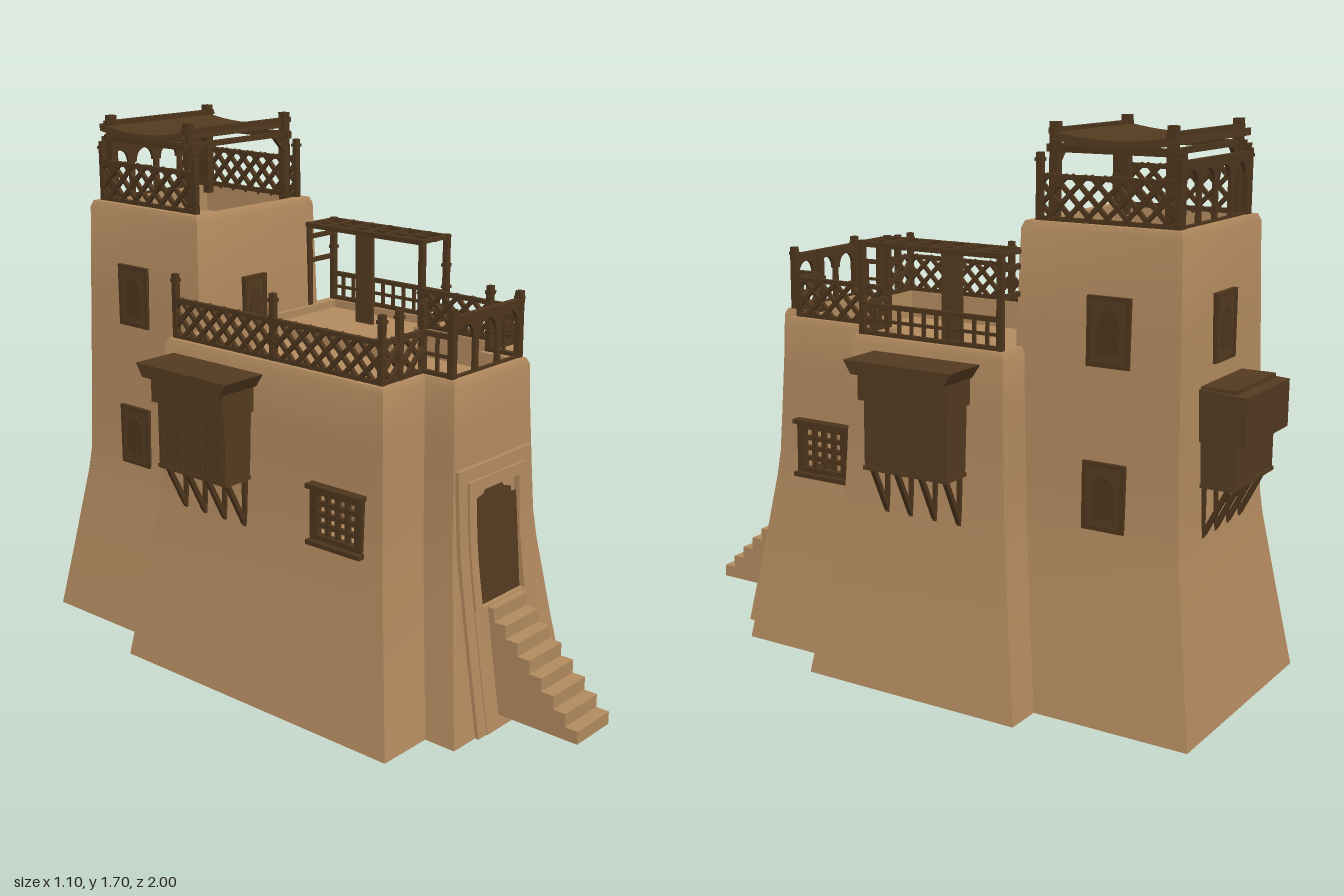
import * as THREE from 'three';
import { mergeGeometries, toCreasedNormals } from 'three/addons/utils/BufferGeometryUtils.js';

const mat = (name, color, side = THREE.FrontSide) => {
  const m = new THREE.MeshStandardMaterial({ color, side });
  m.name = name;
  return m;
};

export function createModel() {
  const clay = mat('clay', 0xb28a5f, THREE.DoubleSide);
  const wood = mat('wood', 0x533a20);
  const darkWood = mat('dark wood', 0x4d351d);
  const root = new THREE.Group();

  const add = (name, geo, m, parent = root) => {
    const mesh = new THREE.Mesh(geo, m);
    mesh.name = name;
    parent.add(mesh);
    return mesh;
  };
  const group = (name, x = 0, y = 0, z = 0, turn = 0) => {
    const g = new THREE.Group();
    g.name = name;
    g.position.set(x, y, z);
    g.rotation.y = turn;
    root.add(g);
    return g;
  };
  const boxGeo = (w, h, d, x, y, z) => new THREE.BoxGeometry(w, h, d).translate(x, y, z);
  // Square bar between two points of an upright plane
  const barGeo = (x0, y0, x1, y1, t, z = 0) => new THREE.BoxGeometry(Math.hypot(x1 - x0, y1 - y0), t, t)
    .rotateZ(Math.atan2(y1 - y0, x1 - x0)).translate((x0 + x1) / 2, (y0 + y1) / 2, z);

  // Outline of [x, z] corners pushed outwards by o
  const offset = (pts, o) => pts.map((p, i) => {
    const n = pts.length, a = pts[(i + n - 1) % n], b = pts[(i + 1) % n];
    const n1 = [-Math.sign(p[1] - a[1]), Math.sign(p[0] - a[0])];
    const n2 = [-Math.sign(b[1] - p[1]), Math.sign(b[0] - p[0])];
    const same = n1[0] === n2[0] && n1[1] === n2[1];
    return [p[0] + o * (n1[0] + (same ? 0 : n2[0])), p[1] + o * (n1[1] + (same ? 0 : n2[1]))];
  });

  // Flared walls with a parapet and a sunken roof floor; open underneath
  function building(name, pts, rows, thick, floorY, isHole = () => false) {
    const top = rows[rows.length - 1][0];
    const rings = [...rows, [top, -thick], [floorY, -thick]]
      .map(([y, o]) => offset(pts, o).map(([x, z]) => [x, y, z]));
    const pos = [];
    for (let j = 0; j + 1 < rings.length; j++) for (let i = 0; i < pts.length; i++) {
      if (isHole(i, rings[j][0][1])) continue;
      const k = (i + 1) % pts.length;
      const [a, b, c, d] = [rings[j][i], rings[j][k], rings[j + 1][k], rings[j + 1][i]];
      pos.push(...a, ...b, ...c, ...a, ...c, ...d);
    }
    const geo = new THREE.BufferGeometry();
    geo.setAttribute('position', new THREE.Float32BufferAttribute(pos, 3));
    add(name + 'Walls', toCreasedNormals(geo, 0.4), clay);
    const outline = new THREE.Shape(offset(pts, -thick).map(([x, z]) => new THREE.Vector2(x, -z)));
    add(name + 'RoofFloor', new THREE.ShapeGeometry(outline).rotateX(-Math.PI / 2).translate(0, floorY, 0), clay);
  }

  const mainRows = [[0, 0.102], [0.25, 0.063], [0.5, 0.027], [0.585, 0.018], [0.715, 0.012], [0.9, 0.004], [1.04, 0], [1.06, -0.008]];
  building('mainHouse', [[-0.395, -0.365], [-0.395, 0.285], [-0.395, 0.435], [-0.395, 0.51], [-0.21, 0.51],
    [-0.21, 0.615], [0.155, 0.615], [0.155, 0.51], [0.27, 0.51], [0.27, 0.435], [0.27, 0.285], [0.27, 0.165],
    [0.393, 0.165], [0.393, -0.365]], mainRows, 0.045, 0.97, (i, y) => (i === 1 || i === 9) && y === 0.585);
  building('tower', [[-0.265, -0.845], [-0.265, -0.345], [0.265, -0.345], [0.265, -0.845]],
    [[0, 0.112], [0.25, 0.071], [0.5, 0.031], [0.58, 0.022], [0.75, 0.017], [1.1, 0.008], [1.4, 0], [1.42, -0.008]], 0.04, 1.33);
  add('innerFloor', boxGeo(0.66, 0.01, 0.84, -0.06, 0.3, 0.08), clay);
  add('roofBench', boxGeo(0.25, 0.07, 0.48, 0.225, 1.0, -0.105), clay);

  // Portal mouldings follow the flare of the front wall
  const flare = (y) => {
    const j = Math.max(1, mainRows.findIndex((r) => r[0] >= y));
    const [y0, a] = mainRows[j - 1], [y1, b] = mainRows[j];
    return a + (b - a) * (y - y0) / (y1 - y0);
  };
  const moulding = (name, x0, x1, y0, y1, out) => {
    const geo = new THREE.BoxGeometry(x1 - x0, y1 - y0, out + 0.02, 1, 10, 1)
      .translate((x0 + x1) / 2, (y0 + y1) / 2, 0.595 + (out + 0.02) / 2);
    const p = geo.attributes.position;
    for (let i = 0; i < p.count; i++) p.setZ(i, p.getZ(i) + flare(Math.max(0, p.getY(i))));
    geo.computeVertexNormals();
    add(name, geo, clay);
  };
  for (const [x0, x1] of [[-0.21, -0.17], [0.105, 0.145]]) moulding('portalOuterJamb', x0, x1, 0, 0.8, 0.012);
  for (const [x0, x1] of [[-0.17, -0.137], [0.073, 0.105]]) moulding('portalInnerJamb', x0, x1, 0.375, 0.76, 0.02);
  moulding('portalOuterLintel', -0.17, 0.105, 0.76, 0.8, 0.012);
  moulding('portalInnerLintel', -0.137, 0.073, 0.725, 0.76, 0.02);
  moulding('portalSill', -0.17, 0.105, 0.0, 0.375, 0.015);

  // Door with a stepped arch
  const half = [[0.105, 0], [0.105, 0.3], [0.08, 0.3], [0.08, 0.32], [0.045, 0.33], [0.035, 0.345], [0, 0.355]];
  const doorShape = new THREE.Shape([...half, ...half.slice(0, -1).reverse().map(([x, y]) => [-x, y])]
    .map(([x, y]) => new THREE.Vector2(x, y)));
  const door = add('frontDoor', new THREE.ExtrudeGeometry(doorShape, { depth: 0.008, bevelEnabled: false }), wood);
  door.position.set(-0.032, 0.375, 0.653);
  door.rotation.x = -0.08;

  // Stairs
  const stairs = new THREE.Shape();
  stairs.moveTo(-0.6, 0.04).lineTo(-1, 0.04);
  for (let i = 0; i < 8; i++) stairs.lineTo(-1 + i * 0.043, 0.08 + i * 0.0415).lineTo(-1 + (i + 1) * 0.043, 0.08 + i * 0.0415);
  stairs.lineTo(-0.6, 0.37);
  add('frontStairs', new THREE.ExtrudeGeometry(stairs, { depth: 0.165, bevelEnabled: false })
    .rotateY(Math.PI / 2).translate(-0.108, 0, 0), clay);

  // Fence run between two [x, z] points: diagonal lattice or plain bars
  function fence(name, a, b, y, h, plain, postH = 0.15) {
    const len = Math.hypot(b[0] - a[0], b[1] - a[1]);
    const g = group(name, a[0], y, a[1], Math.atan2(a[1] - b[1], b[0] - a[0]));
    const parts = [0.01, h - 0.006].map((v) => barGeo(0, v, len, v, 0.014));
    if (plain) {
      parts.push(barGeo(0, h / 2, len, h / 2, 0.009));
      const n = Math.max(2, Math.round(len / 0.045));
      for (let i = 1; i < n; i++) parts.push(barGeo(len * i / n, 0, len * i / n, h, 0.009));
    } else {
      for (let c = -h + 0.03; c < len; c += 0.06) {
        const s0 = Math.max(0, -c), s1 = Math.min(h, len - c);
        if (s1 - s0 < 0.01) continue;
        parts.push(barGeo(c + s0, s0, c + s1, s1, 0.012, 0.002), barGeo(len - c - s0, s0, len - c - s1, s1, 0.012, -0.002));
      }
    }
    for (const x of [0, len]) {
      parts.push(boxGeo(0.018, postH + 0.01, 0.018, x, postH / 2, 0));
      parts.push(boxGeo(0.024, 0.01, 0.024, x, postH - 0.015, 0));
    }
    add(name + 'Bars', mergeGeometries(parts), darkWood, g);
  }
  const rail = [[-0.365, -0.34], [-0.365, 0.07], [-0.365, 0.48], [-0.29, 0.48], [-0.185, 0.48], [-0.185, 0.585]];
  rail.slice(1).forEach((p, i) => fence('terraceFence', rail[i], p, 1.055, 0.13, i === 4, 0.2));
  const rail2 = [[0.135, 0.585], [0.135, 0.48], [0.24, 0.48], [0.24, 0.14], [0.365, 0.14], [0.365, -0.34]];
  rail2.slice(1).forEach((p, i) => fence('terraceFence', rail2[i], p, 1.055, i > 2 ? 0.1 : 0.13, i === 0 || i > 2, i > 0 && i < 4 ? 0.13 : 0.2));
  for (const x of [-0.23, 0.23]) fence('towerFence', [x, -0.385], [x, -0.815], 1.415, 0.135, false, 0.19);

  // Arcade screen with pointed arches
  function arcade(name, x, y, z, w, h, n) {
    const s = new THREE.Shape([[0, 0], [w, 0], [w, h], [0, h]].map(([u, v]) => new THREE.Vector2(u, v)));
    const bay = w / n, r = bay / 2 - 0.009;
    for (let i = 0; i < n; i++) {
      const c = bay * (i + 0.5), spring = h * 0.64;
      const hole = new THREE.Path();
      hole.moveTo(c - r, 0.012).lineTo(c - r, spring).lineTo(c - r * 0.85, spring)
        .quadraticCurveTo(c - r * 0.8, spring + r * 0.9, c, h - 0.02)
        .quadraticCurveTo(c + r * 0.8, spring + r * 0.9, c + r * 0.85, spring).lineTo(c + r, spring).lineTo(c + r, 0.012);
      s.holes.push(hole);
    }
    const g = group(name, x, y, z);
    add(name + 'Screen', new THREE.ExtrudeGeometry(s, { depth: 0.012, bevelEnabled: false, curveSegments: 6 }), darkWood, g);
    add(name + 'TopRail', boxGeo(w + 0.02, 0.014, 0.022, w / 2, h, 0.006), darkWood, g);
    for (const u of [0, w]) add(name + 'Post', boxGeo(0.02, h + 0.03, 0.02, u, h / 2 + 0.015, 0.006), darkWood, g);
  }
  arcade('terraceArcade', -0.185, 1.055, 0.579, 0.32, 0.175, 3);
  arcade('towerArcade', -0.215, 1.415, -0.82, 0.43, 0.18, 4);

  // Slightly sagging canopy on posts above the tower
  const canopy = new THREE.BoxGeometry(0.47, 0.022, 0.385, 1, 1, 12);
  const cp = canopy.attributes.position;
  for (let i = 0; i < cp.count; i++) cp.setY(i, cp.getY(i) + 1.637 + 0.02 * (cp.getZ(i) / 0.193) ** 2);
  canopy.computeVertexNormals();
  add('canopyRoof', toCreasedNormals(canopy.translate(-0.005, 0, -0.62), 0.5), wood);
  for (const z of [-0.425, -0.785]) {
    for (const y of [1.625, 1.67]) add('canopyBeam', boxGeo(0.48, 0.016, 0.018, 0, y, z), darkWood);
    for (const x of [-0.215, 0.215]) {
      add('canopyPost', boxGeo(0.026, 0.3, 0.026, x, 1.545, z), darkWood);
      add('canopyBrace', barGeo(x, 1.57, x * 0.78, 1.62, 0.014, z), darkWood);
    }
  }
  for (const x of [-0.215, 0.215]) add('canopySideBeam', boxGeo(0.018, 0.022, 0.41, x, 1.622, -0.605), darkWood);

  // Pergola along the terrace edge
  for (const x of [0.24, 0.365]) {
    for (const z of [0.14, -0.34]) add('pergolaPost', boxGeo(0.018, 0.3, 0.018, x, 1.19, z), darkWood);
    add('pergolaBeam', boxGeo(0.016, 0.016, 0.5, x, 1.33, -0.1), darkWood);
  }
  add('pergolaMiddleBeam', boxGeo(0.012, 0.012, 0.49, 0.303, 1.33, -0.1), darkWood);
  for (let i = 0; i < 7; i++) add('pergolaSlat', boxGeo(0.15, 0.012, 0.014, 0.303, 1.332, 0.14 - i * 0.08), darkWood);
  for (const y of [1.21, 1.29]) add('pergolaCrossRail', boxGeo(0.13, 0.014, 0.014, 0.303, y, -0.34), darkWood);
  add('pergolaPanel', boxGeo(0.012, 0.34, 0.07, 0.24, 1.16, -0.095), wood);

  // Hanging bay window, facing +z before turning; with a wide lid or a plain deep head
  function bayWindow(x, z, turn, w, roofW, lidded) {
    const g = group('bayWindow', x, 0, z, turn);
    const head = lidded ? [w + 0.02, 0.085, 0.145, 0, 0.943, 0.048] : [roofW, 0.15, 0.165, 0, 0.9, 0.06];
    add('bayBox', boxGeo(w, 0.29, 0.13, 0, 0.835, 0.04), wood, g);
    const headGeo = boxGeo(...head);
    if (lidded) {
      const lid = new THREE.BoxGeometry(roofW, 0.04, 0.17);
      const p = lid.attributes.position;
      for (let i = 0; i < p.count; i++) if (p.getY(i) < 0) p.setX(i, p.getX(i) * 0.86);
      lid.computeVertexNormals();
      add('bayRoof', lid.translate(0, 1.0, 0.06), wood, g);
    } else {
      const p = headGeo.attributes.position;
      for (let i = 0; i < p.count; i++) if (p.getY(i) > 0.9 && p.getZ(i) > 0) p.setY(i, 0.965);
      headGeo.computeVertexNormals();
    }
    add('bayHead', headGeo, wood, g);
    add('baySill', boxGeo(w + 0.008, 0.012, 0.136, 0, 0.696, 0.04), wood, g);
    for (let i = 0; i < 4; i++) {
      const u = (i / 3 - 0.5) * (w - 0.03);
      add('bayMullion', boxGeo(0.01, 0.2, 0.006, u, 0.8, 0.105), wood, g);
      add('bayStrut', barGeo(-0.085, 0.69, -0.015, 0.55, 0.014).rotateY(Math.PI / 2).translate(u, 0, 0), darkWood, g);
      add('bayWallPost', boxGeo(0.014, 0.15, 0.014, u, 0.615, 0.01), darkWood, g);
    }
  }
  bayWindow(0.4, -0.105, Math.PI / 2, 0.285, 0.37, true);
  bayWindow(-0.405, -0.135, -Math.PI / 2, 0.285, 0.38, true);
  bayWindow(0.003, -0.857, Math.PI, 0.28, 0.305, false);

  // Shuttered window with an arched panel
  function shutter(x, y, z, turn, w = 0.135, h = 0.2) {
    const g = group('shutterWindow', x, y, z, turn);
    add('shutterFrame', boxGeo(w, h, 0.02, 0, 0, 0), wood, g);
    for (const s of [-1, 1]) {
      add('shutterSide', boxGeo(0.014, h, 0.012, s * (w / 2 - 0.007), 0, 0.008), darkWood, g);
      add('shutterRail', boxGeo(w, 0.014, 0.012, 0, s * (h / 2 - 0.007), 0.008), darkWood, g);
    }
    const a = new THREE.Shape();
    a.moveTo(-w * 0.25, -h * 0.32).lineTo(w * 0.25, -h * 0.32).lineTo(w * 0.25, h * 0.15)
      .quadraticCurveTo(w * 0.2, h * 0.28, 0, h * 0.33).quadraticCurveTo(-w * 0.2, h * 0.28, -w * 0.25, h * 0.15);
    add('shutterArch', new THREE.ExtrudeGeometry(a, { depth: 0.005, bevelEnabled: false }).translate(0, 0, 0.008), darkWood, g);
  }
  for (const s of [-1, 1]) {
    shutter(s * 0.268, 1.13, -0.635, s * Math.PI / 2);
    shutter(s * 0.28, 0.66, -0.635, s * Math.PI / 2);
  }
  shutter(0, 1.13, -0.851, Math.PI);
  shutter(-0.03, 1.09, -0.338, 0, 0.1, 0.23);

  // Open windows with a square grille in a thick frame
  for (const [x, turn] of [[0.285, Math.PI / 2], [-0.41, -Math.PI / 2]]) {
    const g = group('grilleWindow', x, 0.65, 0.36, turn);
    const parts = [];
    for (const s of [-1, 1]) {
      parts.push(boxGeo(0.026, 0.17, 0.022, s * 0.085, 0, 0.002), boxGeo(0.19, 0.026, 0.022, 0, s * 0.075, 0.002));
      parts.push(boxGeo(0.205, 0.014, 0.044, 0, s * 0.086, 0.007));
    }
    for (const i of [-1, 0, 1]) parts.push(boxGeo(0.014, 0.15, 0.014, i * 0.038, 0, 0), boxGeo(0.16, 0.014, 0.014, 0, i * 0.033, 0));
    add('grilleBars', mergeGeometries(parts), darkWood, g);
  }
  return root;
}
